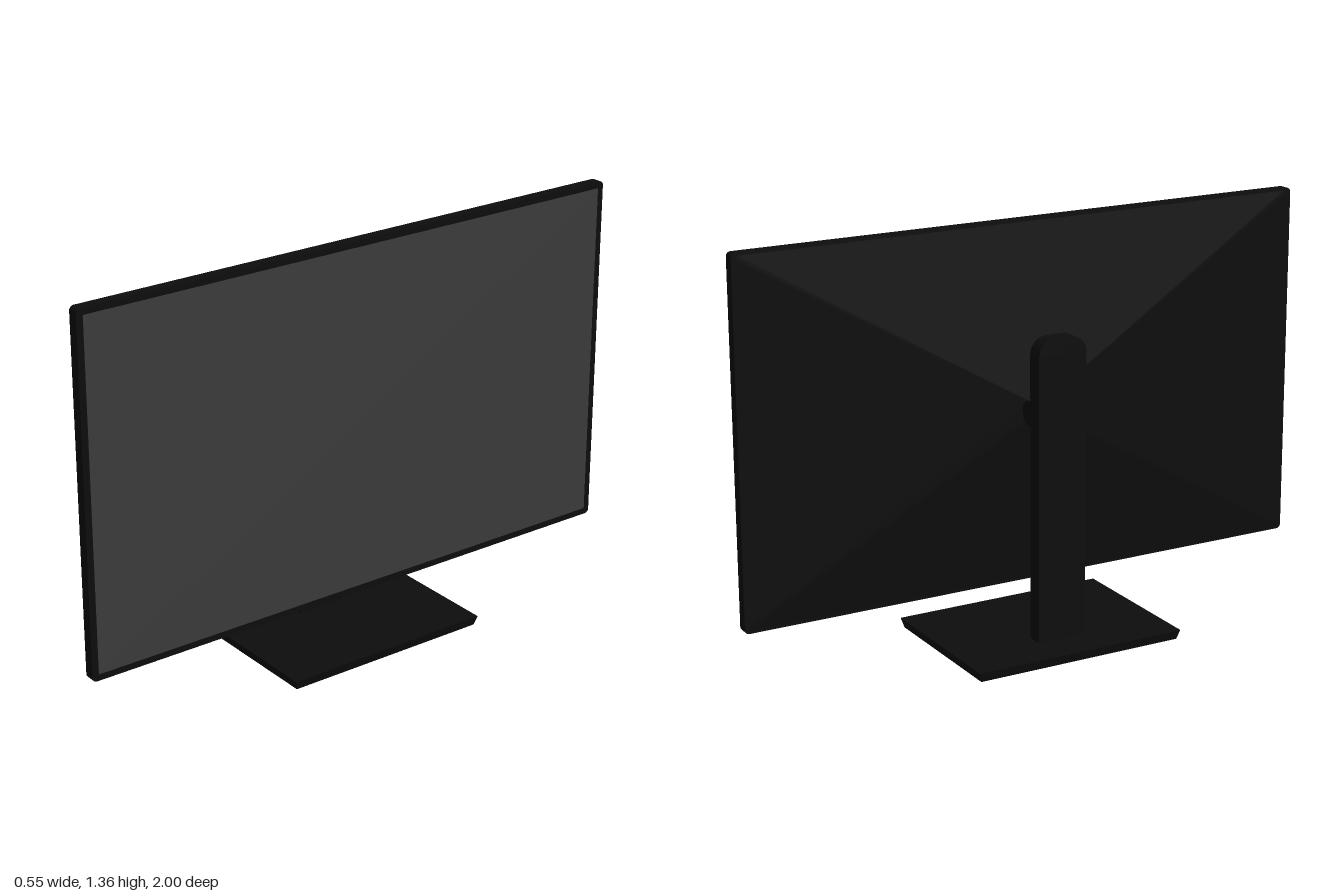
import * as THREE from 'three';

const bodyBlack = new THREE.MeshStandardMaterial({ name: 'bodyBlack', color: 0x0d0d0d });
const screenGrey = new THREE.MeshStandardMaterial({ name: 'screenGrey', color: 0x3b3b3b });

// Rectangle with separate corner radii for the top and bottom
function roundedRect(w, h, rTop, rBottom = rTop) {
  const x = w / 2, y = h / 2, s = new THREE.Shape();
  s.moveTo(-x + rBottom, -y);
  s.lineTo(x - rBottom, -y);
  if (rBottom) s.absarc(x - rBottom, -y + rBottom, rBottom, -Math.PI / 2, 0);
  s.lineTo(x, y - rTop);
  if (rTop) s.absarc(x - rTop, y - rTop, rTop, 0, Math.PI / 2);
  s.lineTo(-x + rTop, y);
  if (rTop) s.absarc(-x + rTop, y - rTop, rTop, Math.PI / 2, Math.PI);
  s.lineTo(-x, -y + rBottom);
  if (rBottom) s.absarc(-x + rBottom, -y + rBottom, rBottom, Math.PI, Math.PI * 1.5);
  return s;
}

const extrude = (shape, depth) =>
  new THREE.ExtrudeGeometry(shape, { depth, bevelEnabled: false, curveSegments: 8 });

// Extrude along +x, with the shape lying in the z-y plane
const slab = (shape, depth) => extrude(shape, depth).rotateY(Math.PI / 2);

// Move vertices by a rule, then refresh the flat normals
function reshape(geometry, rule) {
  const p = geometry.attributes.position, v = new THREE.Vector3();
  for (let i = 0; i < p.count; i++) {
    rule(v.fromBufferAttribute(p, i));
    p.setXYZ(i, v.x, v.y, v.z);
  }
  geometry.computeVertexNormals();
  return geometry;
}

export function createModel() {
  const group = new THREE.Group();
  const add = (name, geometry, material, x, y, z = 0) => {
    const mesh = new THREE.Mesh(geometry, material);
    mesh.name = name;
    mesh.position.set(x, y, z);
    group.add(mesh);
  };
  const centreY = 0.765, height = 1.194;

  // Base plate, slightly narrower underneath
  const base = reshape(new THREE.BoxGeometry(0.546, 0.032, 0.736).toNonIndexed(), v => {
    if (v.y < 0) {
      v.x -= Math.sign(v.x) * 0.009;
      v.z -= Math.sign(v.z) * 0.009;
    }
  });
  add('basePlate', base, bodyBlack, 0, 0.016);

  // Upright post with rounded top corners
  add('post', slab(roundedRect(0.17, 1.0, 0.055, 0), 0.055), bodyBlack, -0.145, 0.527);

  // Arm with a rounded nose meeting the housing
  const arm = new THREE.Shape();
  arm.moveTo(-0.1, -0.04);
  arm.lineTo(-0.036, -0.04);
  arm.absarc(-0.036, 0, 0.04, -Math.PI / 2, Math.PI / 2);
  arm.lineTo(-0.1, 0.04);
  add('arm', extrude(arm, 0.12), bodyBlack, 0, centreY, -0.06);

  // Housing back, tapering from the frame to a small mount
  const back = reshape(slab(roundedRect(2, height, 0.015), 0.072), v => {
    if (v.x < 0.01) {
      v.y *= 0.045;
      v.z *= 0.035;
    }
  });
  add('housingBack', back, bodyBlack, 0, centreY);

  // Frame and display surface
  add('frame', slab(roundedRect(2, height, 0.015), 0.036), bodyBlack, 0.071, centreY);
  add('screen', slab(roundedRect(1.956, 1.15, 0), 0.002), screenGrey, 0.106, centreY);

  return group;
}
